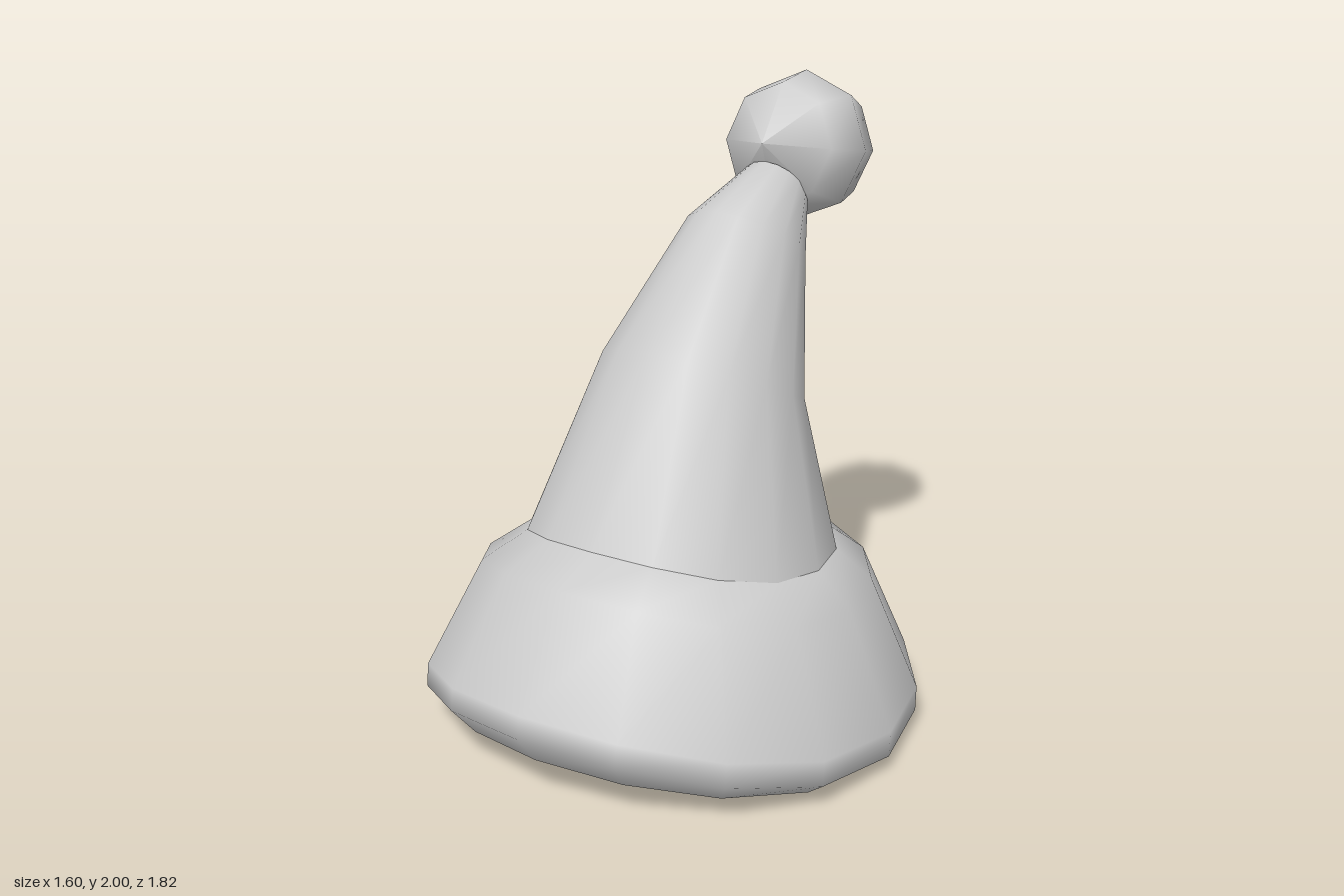
import * as THREE from 'three';

const SIDES = 16;
const material = new THREE.MeshStandardMaterial({ color: 0xcccccc });

// Skin a stack of tilted rings.
// Ring: [half width, z back, z front, y back, y side, y front, bend power of the rim]
function loft(name, rings) {
  const position = [], index = [];
  for (const [rx, zBack, zFront, yBack, ySide, yFront, power] of rings) {
    for (let i = 0; i < SIDES; i++) {
      const a = (i / SIDES) * Math.PI * 2;
      const c = Math.cos(a);
      const yEnd = c > 0 ? yFront : yBack;
      position.push(
        rx * Math.sin(a),
        ySide + (yEnd - ySide) * Math.abs(c) ** power,
        (zFront + zBack) / 2 + ((zFront - zBack) / 2) * c
      );
    }
  }
  for (let r = 0; r < rings.length - 1; r++) {
    for (let i = 0; i < SIDES; i++) {
      const j = (i + 1) % SIDES;
      const a = r * SIDES + i, b = r * SIDES + j;
      index.push(a, b, b + SIDES, a, b + SIDES, a + SIDES);
    }
  }
  const geometry = new THREE.BufferGeometry();
  geometry.setAttribute('position', new THREE.Float32BufferAttribute(position, 3));
  geometry.setIndex(index);
  geometry.computeVertexNormals();
  const mesh = new THREE.Mesh(geometry, material);
  mesh.name = name;
  return mesh;
}

export function createModel() {
  const hat = new THREE.Group();
  hat.name = 'bobbleHat';

  const hem = [0.73, -0.6, 0.83, 0.005, 0.008, 0.13, 2];
  const seam = [0.51, -0.42, 0.54, 0.585, 0.58, 0.69, 2];
  const fold = [0.6, -0.48, 0.7, 0.22, 0.22, 0.33, 2];

  // Padded cuff, raised at the front
  hat.add(loft('cuff', [
    hem,
    [0.8, -0.68, 0.91, 0.09, 0.055, 0.235, 2],
    [0.8, -0.68, 0.9, 0.175, 0.135, 0.305, 2],
    [0.635, -0.53, 0.7, 0.515, 0.49, 0.62, 2],
    seam,
  ]));

  // Inside of the cuff and the floor that closes it
  hat.add(loft('cuffLining', [fold, hem]));
  hat.add(loft('innerFloor', [[0, 0.11, 0.11, 0.23, 0.23, 0.23, 1], fold]));

  // Cone leaning towards the back
  hat.add(loft('cone', [
    seam,
    [0.335, -0.37, 0.24, 0.97, 1.08, 1.23, 1],
    [0.2, -0.5, -0.14, 1.36, 1.485, 1.61, 1],
    [0.115, -0.58, -0.43, 1.54, 1.635, 1.73, 1],
    [0, -0.55, -0.55, 1.66, 1.66, 1.66, 1],
  ]));

  // Bobble: eight-sided ball with its pole facing forward
  const profile = [180, 126, 90, 54, 0].map((deg) => {
    const a = THREE.MathUtils.degToRad(deg);
    return new THREE.Vector2(0.25 * Math.sin(a), 0.25 * Math.cos(a));
  });
  const bobble = new THREE.Mesh(new THREE.LatheGeometry(profile, 8), material);
  bobble.name = 'bobble';
  bobble.position.set(0, 1.755, -0.66);
  bobble.rotation.x = THREE.MathUtils.degToRad(82);
  hat.add(bobble);

  return hat;
}
